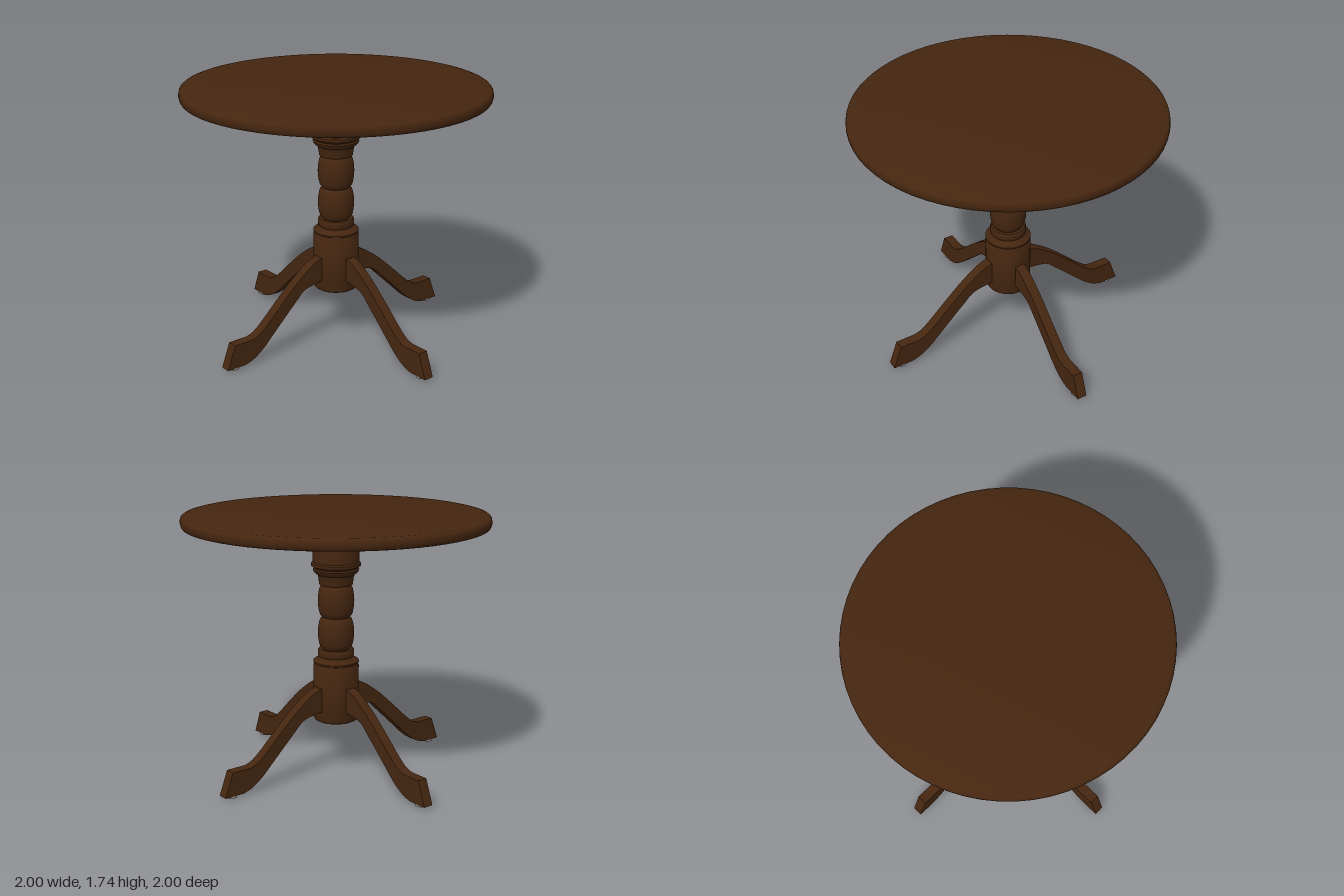
import * as THREE from 'three';
import { toCreasedNormals } from 'three/addons/utils/BufferGeometryUtils.js';

const darkWood = new THREE.MeshStandardMaterial({ color: 0x452610 });
darkWood.name = 'dark wood';
const steel = new THREE.MeshStandardMaterial({ color: 0x8a8a8a });
steel.name = 'steel';

const v = ([x, y]) => new THREE.Vector2(x, y);

function part(name, geometry, material) {
  const mesh = new THREE.Mesh(geometry, material);
  mesh.name = name;
  return mesh;
}

// Turned part from a bottom-to-top profile of [radius, height]
function turned(name, profile, segments) {
  const geometry = new THREE.LatheGeometry(profile.map(v), segments);
  return part(name, toCreasedNormals(geometry, 0.6), darkWood);
}

// Rounded bead between two heights
function bead(y0, y1, neck, belly) {
  const points = [];
  for (let i = 0; i <= 12; i++) {
    const t = i / 12;
    points.push([neck + (belly - neck) * Math.sqrt(Math.sin(Math.PI * t)), y0 + (y1 - y0) * t]);
  }
  return points;
}

// S-curved leg outline, extruded to an even thickness
function legGeometry() {
  const thickness = 0.068;
  const shape = new THREE.Shape();
  shape.moveTo(0.1, 0.43);
  shape.lineTo(0.16, 0.43);
  shape.splineThru([[0.29, 0.405], [0.38, 0.33], [0.55, 0.17], [0.63, 0.095], [0.71, 0.04], [0.78, 0.015]].map(v));
  shape.lineTo(0.92, 0.015);
  shape.lineTo(0.86, 0.175);
  shape.lineTo(0.725, 0.175);
  shape.splineThru([[0.67, 0.195], [0.6, 0.25], [0.47, 0.37], [0.35, 0.475], [0.23, 0.56], [0.16, 0.59], [0.1, 0.6]].map(v));
  shape.closePath();
  const geometry = new THREE.ExtrudeGeometry(shape, { depth: thickness, bevelEnabled: false, curveSegments: 18 });
  geometry.translate(0, 0, -thickness / 2);
  return toCreasedNormals(geometry, 0.5);
}

export function createModel() {
  const table = new THREE.Group();
  table.name = 'pedestalTable';

  // Round top with softened rim
  table.add(turned('tableTop', [
    [0, 1.665], [0.975, 1.665], [0.989, 1.669], [0.997, 1.68], [1, 1.695],
    [1, 1.712], [0.996, 1.727], [0.987, 1.736], [0.972, 1.74], [0, 1.74],
  ], 64));

  // Mounting plate below the top
  table.add(turned('mountingPlate', [[0, 1.63], [0.308, 1.63], [0.308, 1.666], [0, 1.666]], 48));

  // Turned column
  table.add(turned('columnBase', [
    [0, 0.35], [0.135, 0.35], [0.145, 0.356], [0.152, 0.372], [0.152, 0.725], [0.143, 0.74],
    [0.143, 0.745], [0.152, 0.75], [0.152, 0.76], [0.14, 0.768], [0.122, 0.78],
    [0.115, 0.79], [0.12, 0.8], [0.12, 0.832], [0.113, 0.843], [0, 0.843],
  ], 40));
  table.add(turned('columnBeads', [...bead(0.842, 1.058, 0.092, 0.12), ...bead(1.058, 1.276, 0.092, 0.12)], 40));
  table.add(turned('columnHead', [
    [0, 1.276], [0.11, 1.276], [0.118, 1.33], [0.122, 1.342], [0.135, 1.35], [0.147, 1.362],
    [0.152, 1.376], [0.143, 1.385], [0.147, 1.392], [0.162, 1.4], [0.162, 1.418], [0.153, 1.428],
    [0.153, 1.61], [0.148, 1.626], [0.125, 1.626], [0.125, 1.632], [0, 1.632],
  ], 40));

  // Four legs with foot pads, and the bolts of the plate
  const legShape = legGeometry();
  const padShape = new THREE.CylinderGeometry(0.033, 0.033, 0.018, 20);
  const boltShape = new THREE.CylinderGeometry(0.016, 0.016, 0.012, 6);
  const washerShape = new THREE.CylinderGeometry(0.027, 0.027, 0.008, 16);
  for (let i = 0; i < 4; i++) {
    const leg = new THREE.Group();
    leg.name = 'leg' + (i + 1);
    leg.rotation.y = THREE.MathUtils.degToRad(37 - 90 + i * 90);
    const pad = part('footPad', padShape, steel);
    pad.position.set(0.85, 0.009, 0);
    leg.add(part('curvedLeg', legShape, darkWood), pad);
    table.add(leg);

    const fixing = new THREE.Group();
    fixing.name = 'plateBolt' + (i + 1);
    const angle = THREE.MathUtils.degToRad(41 + i * 90);
    fixing.position.set(0.25 * Math.sin(angle), 0, 0.25 * Math.cos(angle));
    const washer = part('washer', washerShape, steel);
    washer.position.y = 1.626;
    const head = part('boltHead', boltShape, steel);
    head.position.y = 1.616;
    fixing.add(washer, head);
    table.add(fixing);
  }
  return table;
}
